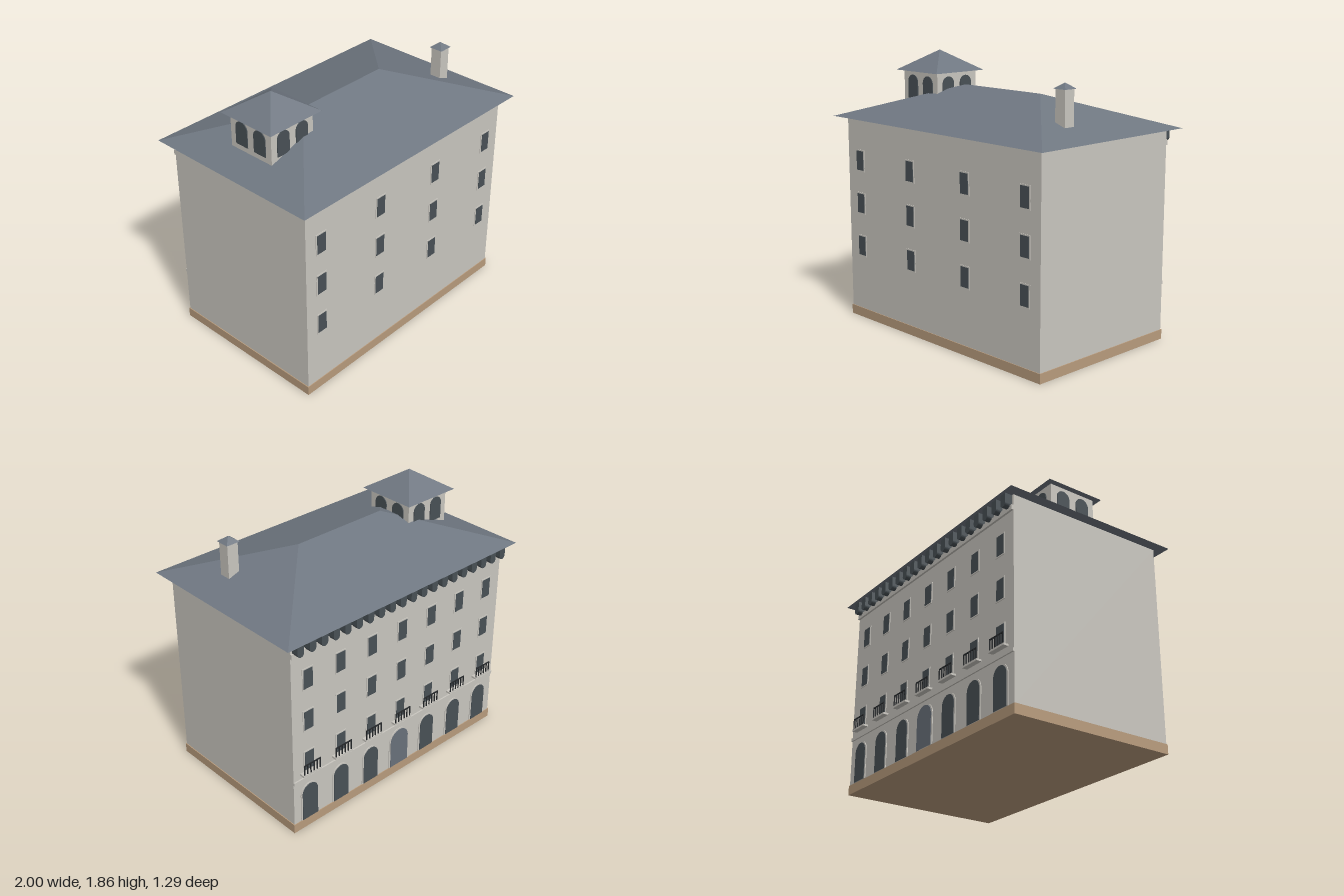
import * as THREE from 'three';

const mat = (name, color) => {
  const m = new THREE.MeshStandardMaterial({ color });
  m.name = name;
  return m;
};

export function createModel() {
  const wall = mat('pale stucco', 0xcac7c0);
  const slate = mat('slate', 0x6f7781);
  const stone = mat('tan stone', 0xb99c7d);
  const glass = mat('dark glass', 0x495156);
  const doorPaint = mat('door paint', 0x69717b);
  const iron = mat('black iron', 0x26292c);

  const root = new THREE.Group();
  root.name = 'palazzo';

  const add = (parent, name, geo, material, x = 0, y = 0, z = 0) => {
    const m = new THREE.Mesh(geo, material);
    m.name = name;
    m.position.set(x, y, z);
    parent.add(m);
    return m;
  };
  const box = (parent, name, material, w, h, d, x, y, z) =>
    add(parent, name, new THREE.BoxGeometry(w, h, d), material, x, y, z);
  const group = (parent, name, x = 0, y = 0, z = 0, turn = 0) => {
    const g = new THREE.Group();
    g.name = name;
    g.position.set(x, y, z);
    g.rotation.y = turn;
    parent.add(g);
    return g;
  };

  // Hip roof with a flat soffit; ridge is the half length along x (0 = pyramid)
  const hipRoof = (hx, hz, h, ridge = 0) => {
    const a = [-hx, 0, hz], b = [hx, 0, hz], c = [hx, 0, -hz], d = [-hx, 0, -hz];
    const l = [-ridge, h, 0], r = [ridge, h, 0];
    const tris = [a, b, r, b, c, r, c, d, l, d, a, l, a, d, c, a, c, b];
    if (ridge) tris.push(a, r, l, c, l, r);
    const g = new THREE.BufferGeometry();
    g.setAttribute('position', new THREE.Float32BufferAttribute(tris.flat(), 3));
    g.computeVertexNormals();
    return g;
  };

  // Round-headed plate, base at y = 0, extruded along +z
  const arch = (w, h, depth) => {
    const s = new THREE.Shape();
    s.moveTo(-w / 2, 0);
    s.lineTo(w / 2, 0);
    s.lineTo(w / 2, h - w / 2);
    s.absarc(0, h - w / 2, w / 2, 0, Math.PI, false);
    s.closePath();
    return new THREE.ExtrudeGeometry(s, { depth, bevelEnabled: false, curveSegments: 10 });
  };

  // Main block
  box(root, 'plinth', stone, 1.868, 0.065, 1.16, 0, 0.0325, 0);
  box(root, 'walls', wall, 1.856, 1.365, 1.15, 0, 0.7375, 0);
  add(root, 'mainRoof', hipRoof(1, 0.645, 0.22, 0.355), slate, 0, 1.42, 0);

  // Each facade is built facing +z, with z = 0 on the wall
  const front = group(root, 'frontFacade', 0, 0, 0.575);
  const back = group(root, 'arcadeFacade', 0, 0, -0.575, Math.PI);
  const rows = [0.522, 0.825, 1.125];
  const bay = 0.266;

  const addWindow = (parent, x, y) => {
    const w = group(parent, 'window', x, y, 0);
    box(w, 'windowFrame', wall, 0.09, 0.152, 0.004, 0, 0, 0.002);
    box(w, 'windowPane', glass, 0.072, 0.134, 0.006, 0, 0, 0.003);
  };

  // Balcony slab with railing
  const addBalcony = (parent, x) => {
    const b = group(parent, 'balcony', x, 0, 0);
    box(b, 'balconySlab', wall, 0.15, 0.013, 0.036, 0, 0.437, 0.018);
    box(b, 'topRail', iron, 0.136, 0.008, 0.006, 0, 0.514, 0.031);
    for (let i = 0; i < 6; i++)
      box(b, 'baluster', iron, 0.007, 0.07, 0.006, -0.0645 + i * 0.0258, 0.478, 0.031);
  };

  for (const i of [-3, -1, 1, 3]) for (const y of rows) addWindow(front, i * bay, y);

  for (let i = -3; i <= 3; i++) {
    const x = i * bay;
    for (const y of rows) addWindow(back, x, y);
    addBalcony(back, x);
    // Ground floor arches, with the door in the middle
    const isDoor = i === 0;
    const w = isDoor ? 0.16 : 0.126;
    const h = isDoor ? 0.28 : 0.265;
    add(back, 'archSurround', arch(w + 0.024, h + 0.012, 0.005), wall, x, 0.066, 0);
    add(back, isDoor ? 'door' : 'archedOpening', arch(w, h, 0.008), isDoor ? doorPaint : glass, x, 0.068, 0);
  }

  // Mouldings and cornice brackets
  box(back, 'stringCourse', wall, 1.856, 0.022, 0.01, 0, 0.39, 0.005);
  box(back, 'corniceMoulding', wall, 1.856, 0.035, 0.014, 0, 1.328, 0.007);
  const bracketShape = arch(0.05, 0.09, 0.05).rotateZ(Math.PI);
  for (let i = 0; i < 20; i++)
    add(back, 'corniceBracket', bracketShape, glass, (i - 9.5) * 0.0935, 1.42, 0);

  // Rooftop belvedere with paired arches on all four sides
  const tower = group(root, 'belvedere', -0.622, 0, 0);
  box(tower, 'belvedereWalls', wall, 0.35, 0.28, 0.35, 0, 1.58, 0);
  add(tower, 'belvedereRoof', hipRoof(0.215, 0.215, 0.14), slate, 0, 1.72, 0);
  for (let k = 0; k < 4; k++) {
    const side = group(tower, 'belvedereSide', 0, 0, 0, (k * Math.PI) / 2);
    for (const s of [-1, 1])
      add(side, 'belvedereArch', arch(0.1, 0.165, 0.008), glass, s * 0.078, 1.527, 0.173);
  }

  // Chimney
  const chimney = group(root, 'chimney', 0.75, 0, 0.195);
  box(chimney, 'chimneyStack', wall, 0.08, 0.28, 0.08, 0, 1.585, 0);
  add(chimney, 'chimneyCap', hipRoof(0.05, 0.05, 0.037), slate, 0, 1.723, 0);

  return root;
}
